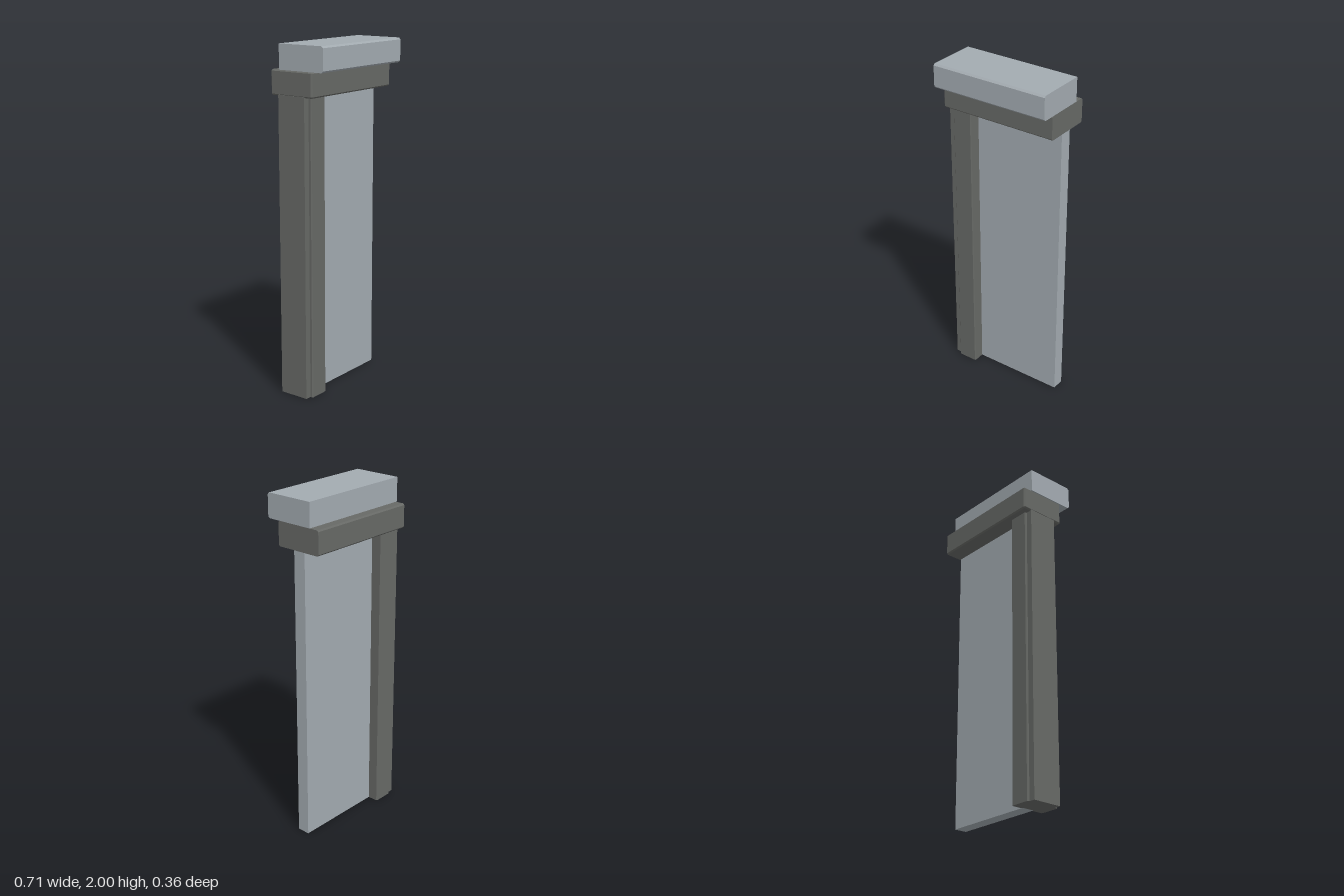
import * as THREE from 'three';
import { ConvexGeometry } from 'three/addons/geometries/ConvexGeometry.js';

const paleStone = new THREE.MeshStandardMaterial({ name: 'pale blue grey', color: 0xa3abb1 });
const darkStone = new THREE.MeshStandardMaterial({ name: 'dark grey', color: 0x676966 });

const C = 0.008; // width of the small chamfers

function addMesh(group, name, geometry, material) {
  const mesh = new THREE.Mesh(geometry, material);
  mesh.name = name;
  group.add(mesh);
}

// Box given by its limits along each axis
function block([x0, x1], [y0, y1], [z0, z1]) {
  return new THREE.BoxGeometry(x1 - x0, y1 - y0, z1 - z0)
    .translate((x0 + x1) / 2, (y0 + y1) / 2, (z0 + z1) / 2);
}

// Corners of a rectangle with each corner cut, as pairs [u, v]
function cutRect([u0, u1], [v0, v1], c) {
  return [[u0 + c, v0], [u1 - c, v0], [u1, v0 + c], [u1, v1 - c],
    [u1 - c, v1], [u0 + c, v1], [u0, v1 - c], [u0, v0 + c]];
}

export function createModel() {
  const model = new THREE.Group();
  model.name = 'doorFrameSection';

  // Wall panel beside the post
  addMesh(model, 'panel', block([-0.21, 0.35], [0, 1.725], [-0.075, 0]), paleStone);

  // Post with chamfered upright edges
  const post = [];
  for (const y of [0, 1.725]) {
    for (const [x, z] of cutRect([-0.32, -0.2], [-0.14, 0.07], 0.005)) post.push(new THREE.Vector3(x, y, z));
  }
  addMesh(model, 'post', new ConvexGeometry(post), darkStone);

  // Outer strip, set back from the post on both faces
  addMesh(model, 'outerStrip', block([-0.357, -0.315], [0, 1.725], [-0.128, 0.052]), darkStone);

  // Lintel: long edges chamfered, left end chamfered too, right end square
  const lintel = [];
  const ySpan = [1.72, 1.86], zSpan = [-0.18, 0.105];
  for (const x of [-0.357 + C, 0.357]) {
    for (const [y, z] of cutRect(ySpan, zSpan, C)) lintel.push(new THREE.Vector3(x, y, z));
  }
  for (const y of [ySpan[0] + C, ySpan[1] - C]) {
    for (const z of [zSpan[0] + C, zSpan[1] - C]) lintel.push(new THREE.Vector3(-0.357, y, z));
  }
  addMesh(model, 'lintel', new ConvexGeometry(lintel), darkStone);

  // Top cap: only the two front edges are chamfered
  const cap = [];
  for (const x of [-0.357, 0.357]) {
    for (const [y, z] of [[1.86, -0.12], [2, -0.12], [2, 0.17], [1.99, 0.18], [1.87, 0.18], [1.86, 0.17]]) {
      cap.push(new THREE.Vector3(x, y, z));
    }
  }
  addMesh(model, 'cap', new ConvexGeometry(cap), paleStone);

  return model;
}
